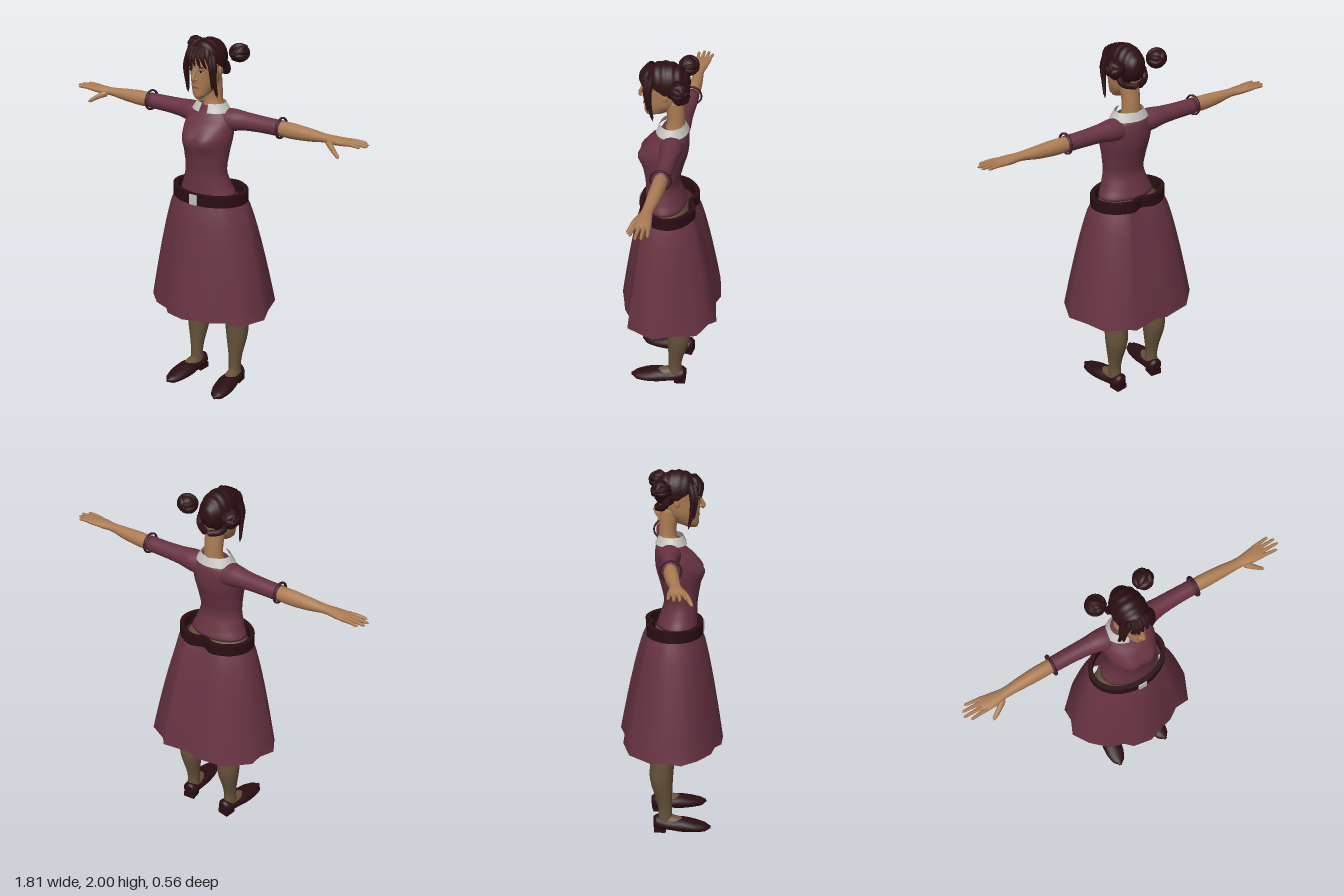
import * as THREE from 'three';
import { toCreasedNormals } from 'three/addons/utils/BufferGeometryUtils.js';

const paint = (name, color) => new THREE.MeshStandardMaterial({ name, color, side: THREE.DoubleSide });

// Loft of elliptical rings [t, a, b, radiusA, radiusB, radiusBack], smoothed between rings, along an axis
function loft(axis, rows, n = 24, sub = 4) {
  const rings = rows.map(r => [...r.slice(0, 5), r[5] ?? r[4]]);
  const at = i => rings[Math.min(Math.max(i, 0), rings.length - 1)];
  const all = [];
  for (let i = 0; i < rings.length - 1; i++) {
    for (let k = 0; k < sub; k++) {
      const u = k / sub;
      all.push(at(i).map((p1, c) => {
        const p0 = at(i - 1)[c], p2 = at(i + 1)[c], p3 = at(i + 2)[c];
        if (c === 0) return p1 + (p2 - p1) * u;
        return 0.5 * (2 * p1 + (p2 - p0) * u + (2 * p0 - 5 * p1 + 4 * p2 - p3) * u * u
          + (3 * p1 - p0 - 3 * p2 + p3) * u * u * u);
      }));
    }
  }
  all.push(at(rings.length - 1));
  const pos = [], idx = [];
  const put = (t, a, b) => pos.push(...(axis === 'y' ? [a, t, b] : axis === 'x' ? [t, a, b] : [a, b, t]));
  const tri = (a, b, c) => idx.push(...(axis === 'y' ? [a, c, b] : [a, b, c]));
  for (const [t, a, b, ra, rb, rk] of all) {
    for (let j = 0; j < n; j++) {
      const s = Math.sin(j / n * Math.PI * 2);
      put(t, a + ra * Math.cos(j / n * Math.PI * 2), b + (s > 0 ? rb : rk) * s);
    }
  }
  const last = (all.length - 1) * n, c0 = all.length * n;
  put(...all[0]);
  put(...all[all.length - 1]);
  pos.length = (c0 + 2) * 3;
  for (let j = 0; j < n; j++) {
    const k = (j + 1) % n;
    for (let i = 0; i < last; i += n) {
      tri(i + j, i + k, i + n + j);
      tri(i + k, i + n + k, i + n + j);
    }
    tri(c0, k, j);
    tri(c0 + 1, last + j, last + k);
  }
  return finish(pos, idx);
}

function finish(pos, idx) {
  const g = new THREE.BufferGeometry();
  g.setAttribute('position', new THREE.Float32BufferAttribute(pos, 3));
  g.setIndex(idx);
  g.computeVertexNormals();
  return g;
}

// Tube through points with the radius running from r0 to r1, closed at both ends
function taper(points, r0, r1, n = 10, sides = 8) {
  const curve = new THREE.CatmullRomCurve3(points.map(p => new THREE.Vector3(...p)));
  const g = new THREE.TubeGeometry(curve, n, 1, sides), p = g.attributes.position, v = new THREE.Vector3();
  for (let i = 0; i <= n; i++) {
    const c = curve.getPointAt(i / n), r = i % n ? r0 + (r1 - r0) * i / n : 0;
    for (let j = 0; j <= sides; j++) {
      const k = i * (sides + 1) + j;
      v.fromBufferAttribute(p, k).sub(c).multiplyScalar(r).add(c);
      p.setXYZ(k, v.x, v.y, v.z);
    }
  }
  return g;
}

const ball = (x, y, z, rx, ry, rz) => new THREE.SphereGeometry(1, 16, 12).scale(rx, ry, rz).translate(x, y, z);

function mirror(geo) {
  const g = geo.clone().scale(-1, 1, 1), ix = g.index;
  for (let i = 0; i < ix.count; i += 3) {
    const a = ix.getX(i);
    ix.setX(i, ix.getX(i + 1));
    ix.setX(i + 1, a);
  }
  return g;
}

// Belt line: an oval with a dip at the middle of the back
function waistPoint(angle, off) {
  const x = (0.205 + off) * Math.cos(angle), s = Math.sin(angle);
  const z = s > 0 ? (0.15 + off) * s : (0.145 + off) * s + 0.035 * Math.exp(-((x / 0.045) ** 2));
  return [x, z];
}

export function createModel() {
  const model = new THREE.Group();
  const skin = paint('skin', 0xac7c54), stocking = paint('stocking', 0x66523a), dress = paint('dress', 0x683343);
  const hair = paint('hair', 0x2c0f13), leather = paint('leather', 0x2a0e12), white = paint('white', 0xc4c2bd);
  const lip = paint('lip', 0x875140), trim = paint('trim', 0x3f1b27), eye = paint('eye', 0x1c1210);
  const add = (name, mat, geo) => {
    const m = new THREE.Mesh(geo, mat);
    m.name = name;
    model.add(m);
  };
  const pair = (name, mat, geo) => {
    add(name + 'Left', mat, geo);
    add(name + 'Right', mat, mirror(geo));
  };

  // Bodice and hips
  const bodice = loft('y', [[1.17, 0, 0.02, 0.16, 0.11, 0.105], [1.22, 0, 0.03, 0.138, 0.1, 0.1],
    [1.3, 0, 0.04, 0.117, 0.09, 0.088], [1.4, 0, 0.03, 0.125, 0.115, 0.098], [1.48, 0, 0.02, 0.137, 0.135, 0.11],
    [1.55, 0, 0, 0.137, 0.115, 0.095], [1.6, 0, -0.015, 0.118, 0.075, 0.075], [1.637, 0, -0.015, 0.08, 0.055, 0.055]], 40);
  const bp = bodice.attributes.position;
  for (let i = 0; i < bp.count; i++) {
    const x = Math.abs(bp.getX(i)), y = bp.getY(i), z = bp.getZ(i);
    if (z > 0.04) bp.setZ(i, z + 0.018 * Math.exp(-(((x - 0.06) / 0.04) ** 2) - ((y - 1.475) / 0.05) ** 2));
  }
  bodice.computeVertexNormals();
  add('bodice', dress, bodice);
  add('hips', stocking, loft('y', [[0.9, 0, -0.01, 0.15, 0.08], [1.05, 0, 0, 0.185, 0.105], [1.13, 0, 0.01, 0.178, 0.105],
    [1.2, 0, 0.02, 0.13, 0.09]]));

  // Skirt: from the belt line out to an uneven hem
  const hem = [[-.37, .02], [-.335, -.06], [-.335, -.135], [-.22, -.247], [-.06, -.276], [0, -.257], [.155, -.286],
    [.19, -.247], [.295, -.2], [.33, -.07], [.37, .034], [.305, .18], [.22, .185], [.155, .228], [.08, .25], [0, .276],
    [-.107, .257], [-.145, .218], [-.23, .19], [-.315, .11]];
  const pos = [], idx = [], rows = 10, n = hem.length;
  for (let i = 0; i <= rows; i++) {
    const t = i / rows, f = t ** 0.75;
    for (const [hx, hz] of hem) {
      const [x, z] = waistPoint(Math.atan2(hz / 0.28, hx / 0.37), 0);
      pos.push(x + (hx - x) * f, 1.15 - 0.645 * t, z + (hz - z) * f);
    }
  }
  for (let i = 0; i < rows; i++) {
    for (let j = 0; j < n; j++) {
      const a = i * n + j, b = i * n + (j + 1) % n;
      idx.push(a, b, a + n, b, b + n, a + n);
    }
  }
  add('skirt', dress, finish(pos, idx));

  // Belt and buckle
  const loop = off => Array.from({ length: 64 }, (_, i) => new THREE.Vector2(...waistPoint(i / 32 * Math.PI, off)));
  const band = new THREE.Shape(loop(0.011));
  band.holes.push(new THREE.Path(loop(-0.014)));
  const belt = new THREE.ExtrudeGeometry(band, { depth: 0.06, bevelEnabled: false });
  add('belt', leather, toCreasedNormals(belt.rotateX(Math.PI / 2).translate(0, 1.19, 0), 0.6));
  add('buckle', white, new THREE.BoxGeometry(0.046, 0.056, 0.008).translate(0, 1.16, 0.163));

  // Sleeves, cuff rings and forearms
  pair('sleeve', dress, loft('x', [[0.05, 1.565, -0.02, 0.06, 0.06], [0.13, 1.572, -0.025, 0.058, 0.058],
    [0.2, 1.576, -0.03, 0.048, 0.047], [0.3, 1.577, -0.033, 0.043, 0.042], [0.41, 1.577, -0.033, 0.042, 0.04]]));
  pair('cuff', trim, new THREE.TorusGeometry(0.052, 0.005, 8, 32).scale(1, 1, 1.6).rotateY(Math.PI / 2)
    .translate(0.408, 1.58, -0.033));
  pair('forearm', skin, loft('x', [[0.39, 1.577, -0.033, 0.037, 0.034], [0.47, 1.577, -0.033, 0.041, 0.036],
    [0.58, 1.578, -0.03, 0.033, 0.032], [0.67, 1.581, -0.025, 0.022, 0.027], [0.73, 1.581, -0.024, 0.021, 0.036],
    [0.79, 1.583, -0.026, 0.016, 0.042], [0.815, 1.584, -0.027, 0.008, 0.038]]));

  // Hands
  [[0.875, -0.069], [0.9, -0.043], [0.905, -0.015], [0.88, 0.014]].forEach(([tip, z], i) => {
    const z0 = -0.056 + i * 0.02;
    pair('finger' + (i + 1), skin, taper([[0.77, 1.583, z0], [0.83, 1.587, (z0 + z) / 2], [tip, 1.584, z]], 0.0125, 0.007));
  });
  pair('thumb', skin, taper([[0.69, 1.575, -0.01], [0.73, 1.555, 0.022], [0.785, 1.52, 0.05]], 0.019, 0.008));

  // Legs and shoes
  pair('leg', stocking, loft('y', [[0.05, 0.13, -0.05, 0.036, 0.042], [0.15, 0.13, -0.052, 0.035, 0.038],
    [0.31, 0.13, -0.07, 0.061, 0.062], [0.42, 0.129, -0.066, 0.066, 0.066], [0.52, 0.128, -0.06, 0.066, 0.067],
    [0.68, 0.122, -0.04, 0.078, 0.082], [0.9, 0.105, -0.015, 0.095, 0.1], [1.04, 0.09, 0, 0.09, 0.09]]));
  const place = g => g.rotateY(0.12).translate(0.135, 0, -0.005);
  pair('shoe', leather, place(loft('z', [[-0.11, 0, 0.053, 0.025, 0.033], [-0.09, 0, 0.052, 0.042, 0.044],
    [-0.03, 0, 0.045, 0.046, 0.034], [0.05, 0, 0.042, 0.055, 0.04], [0.12, 0, 0.036, 0.053, 0.031],
    [0.175, 0, 0.03, 0.036, 0.022], [0.205, 0, 0.03, 0.008, 0.008]])));
  pair('instep', stocking, place(loft('z', [[-0.08, 0, 0.06, 0.03, 0.03], [-0.03, 0, 0.055, 0.036, 0.045],
    [0.03, 0, 0.052, 0.036, 0.035], [0.075, 0, 0.05, 0.025, 0.026]])));
  pair('heel', leather, place(new THREE.BoxGeometry(0.065, 0.03, 0.065).translate(0, 0.015, -0.074)));

  // Neck and open collar
  add('neck', skin, loft('y', [[1.6, 0, -0.02, 0.06, 0.055], [1.66, 0, -0.028, 0.05, 0.046], [1.72, 0, -0.025, 0.049, 0.046],
    [1.8, 0, -0.01, 0.052, 0.055]]));
  add('collar', white, new THREE.CylinderGeometry(0.08, 0.108, 0.044, 40, 1, true, 0.24, Math.PI * 2 - 0.48)
    .scale(1, 1, 0.78).translate(0, 1.636, -0.01));

  // Head and face
  add('head', skin, loft('y', [[1.7, 0, 0.1, 0.018, 0.025, 0.03], [1.72, 0, 0.08, 0.04, 0.053, 0.06],
    [1.77, 0, 0.05, 0.06, 0.085, 0.09], [1.83, 0, 0.035, 0.068, 0.105, 0.11], [1.9, 0, 0.03, 0.072, 0.11, 0.112],
    [1.95, 0, 0.03, 0.058, 0.085, 0.095], [1.98, 0, 0.03, 0.03, 0.04, 0.05]], 32));
  add('nose', skin, taper([[0, 1.87, 0.132], [0, 1.835, 0.147], [0, 1.81, 0.156], [0, 1.8, 0.142]], 0.007, 0.012));
  pair('nostril', skin, ball(0.01, 1.809, 0.143, 0.009, 0.007, 0.01));
  pair('ear', skin, ball(0.072, 1.84, 0.015, 0.009, 0.028, 0.017));
  add('mouth', lip, ball(0, 1.765, 0.134, 0.022, 0.006, 0.005));
  const onFace = (g, x, y, z) => g.rotateY(0.3).translate(x, y, z);
  pair('eyeWhite', white, onFace(ball(0, 0, 0, 0.013, 0.005, 0.003), 0.03, 1.848, 0.129));
  pair('iris', eye, onFace(ball(0, 0, 0, 0.006, 0.0055, 0.004), 0.03, 1.848, 0.13));
  pair('lash', eye, onFace(ball(0, 0, 0, 0.016, 0.003, 0.004), 0.031, 1.854, 0.13));
  pair('brow', hair, onFace(ball(0, 0, 0, 0.018, 0.0035, 0.004).rotateZ(0.12), 0.033, 1.87, 0.131));

  // Hair cap: tilted partial sphere with combed ridges
  const cap = new THREE.SphereGeometry(1, 48, 40, 0, Math.PI * 2, 0, Math.PI * 0.585).rotateX(-0.65);
  const cp = cap.attributes.position;
  for (let i = 0; i < cp.count; i++) {
    const z = cp.getZ(i), k = 1 + 0.02 * Math.sin(z * 19 + 2 * cp.getX(i) ** 2);
    cp.setXYZ(i, cp.getX(i) * k, cp.getY(i) * k, z * k);
  }
  cap.scale(0.086, 0.106, 0.122).translate(0, 1.89, 0.022).computeVertexNormals();
  add('hairCap', hair, cap);

  // Fringe and side locks
  [[-0.06, -0.07, 1.845], [-0.04, -0.05, 1.868], [-0.025, -0.018, 1.85], [-0.005, 0.004, 1.875], [0.02, 0.03, 1.868],
    [0.04, 0.054, 1.86], [0.06, 0.072, 1.845]].forEach(([x0, x1, y], i) => {
    const z = x => 0.148 - 9 * x * x;
    add('fringe' + (i + 1), hair, taper([[x0 * 0.7, 1.965, 0.1], [x0, 1.92, z(x0)], [x1, y, z(x1) - 0.004]], 0.02, 0.004));
  });
  pair('sideLock', hair, taper([[0.062, 1.94, 0.08], [0.082, 1.87, 0.095], [0.084, 1.79, 0.09], [0.09, 1.705, 0.072]], 0.022, 0.006));
  pair('frontLock', hair, taper([[0.055, 1.94, 0.1], [0.077, 1.87, 0.112], [0.078, 1.75, 0.1]], 0.018, 0.005));
  pair('napeLock', hair, taper([[0.075, 1.88, -0.02], [0.07, 1.82, -0.05], [0, 1.8, -0.09]], 0.018, 0.016));

  // Coiled buns
  const coil = g => g.translate(0.13, 1.918, -0.068);
  pair('bun', hair, coil(new THREE.SphereGeometry(0.045, 20, 14)));
  [[0.2, 0.5], [1.2, 0.4], [0.7, 1.7], [1.9, 1.1]].forEach(([rx, ry], i) =>
    pair('bunCoil' + (i + 1), hair, coil(new THREE.TorusGeometry(0.037, 0.017, 8, 24).rotateX(rx).rotateY(ry))));
  return model;
}
